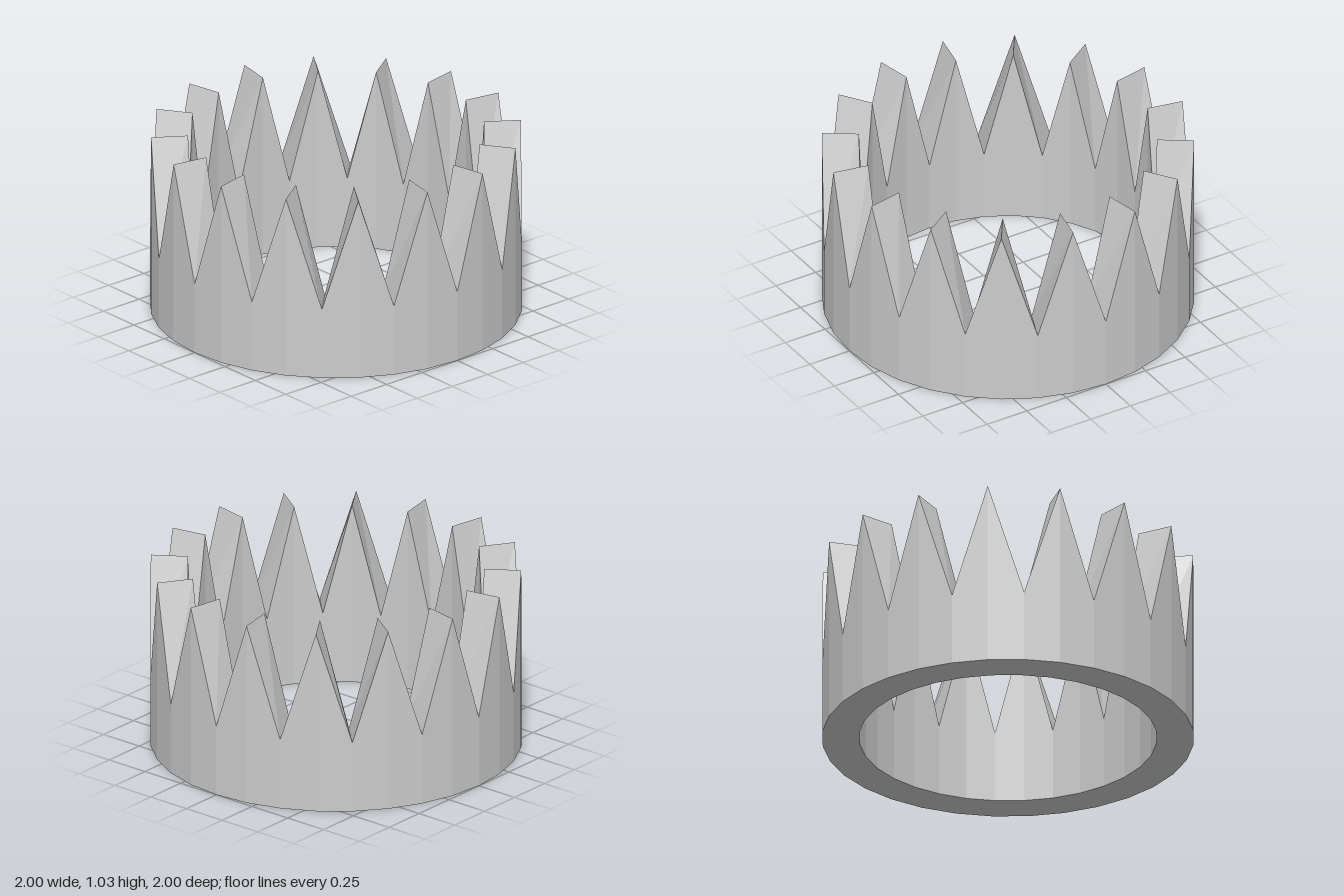
import * as THREE from 'three';

const SEGMENTS = 32, OUTER = 1, INNER = 0.8, VALLEY = 0.4, PEAK = 1.03;

// Radial cross-section of the band: outer bottom, outer top, inner top, inner bottom
function section(i) {
  const a = (i / SEGMENTS) * Math.PI * 2;
  const top = i % 2 ? PEAK : VALLEY;
  return [[OUTER, 0], [OUTER, top], [INNER, top], [INNER, 0]]
    .map(([r, y]) => [r * Math.sin(a), y, r * Math.cos(a)]);
}

export function createModel() {
  const group = new THREE.Group();
  group.name = 'crown';

  // Join neighbouring cross-sections; tops alternate between valley and spike
  const positions = [];
  for (let i = 0; i < SEGMENTS; i++) {
    const a = section(i), b = section((i + 1) % SEGMENTS);
    for (let k = 0; k < 4; k++) {
      const n = (k + 1) % 4;
      positions.push(...a[k], ...b[k], ...a[n], ...b[k], ...b[n], ...a[n]);
    }
  }
  const geometry = new THREE.BufferGeometry();
  geometry.setAttribute('position', new THREE.Float32BufferAttribute(positions, 3));
  geometry.computeVertexNormals();

  const band = new THREE.Mesh(geometry,
    new THREE.MeshStandardMaterial({ color: 0xcccccc, flatShading: true }));
  band.name = 'spikedBand';
  group.add(band);
  return group;
}
